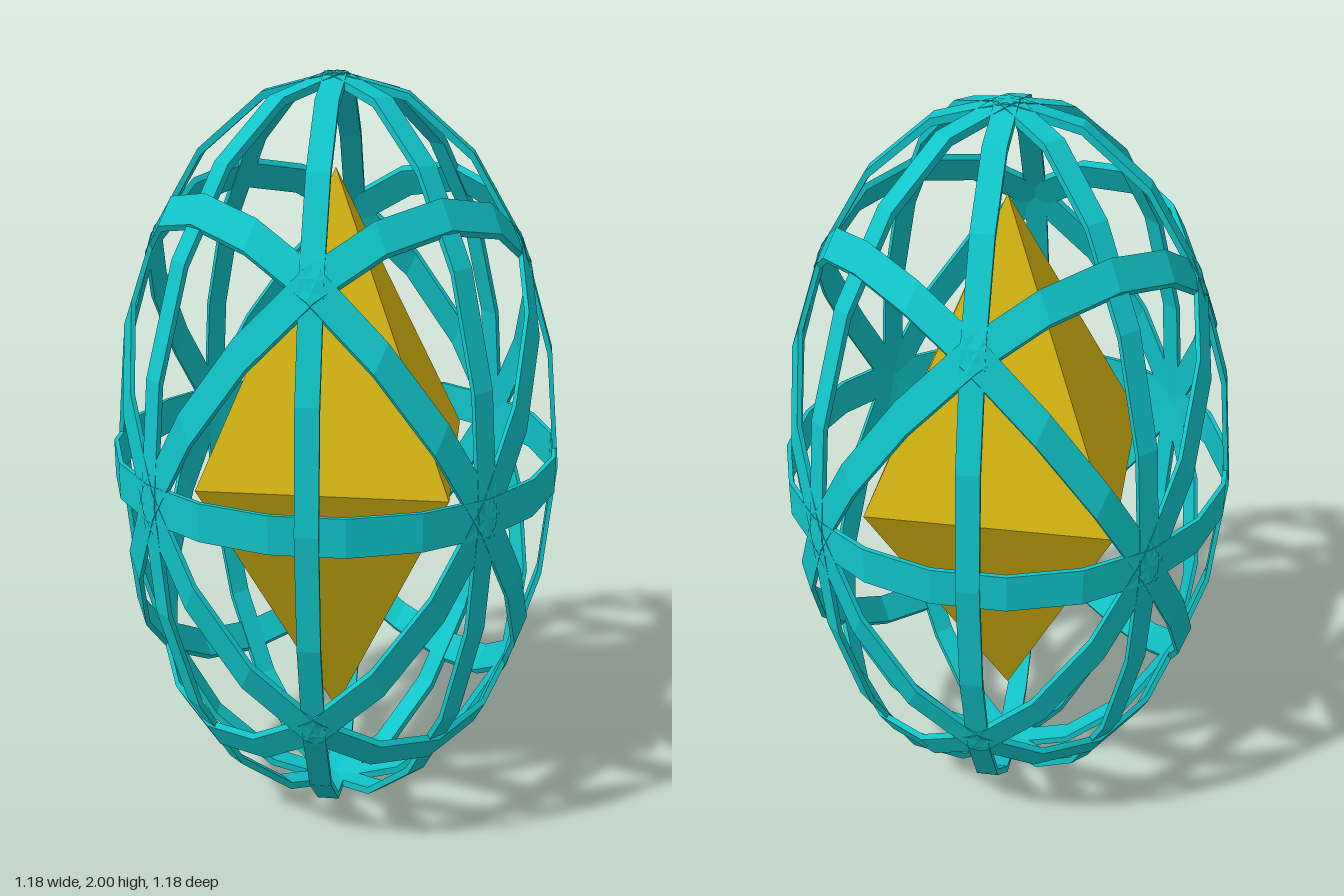
import * as THREE from 'three';

const R = 0.588, WIDTH = 0.058, THICK = 0.012, STRETCH = 1.7;

// Stretch a round geometry into the egg shape and give it flat facets
function eggFacets(geometry) {
  geometry.scale(1, STRETCH, 1);
  const flat = geometry.index ? geometry.toNonIndexed() : geometry;
  flat.computeVertexNormals();
  return flat;
}

// Flat 20-sided hoop around the axis `normal`, with one corner at `start`
function hoopGeometry(normal, start) {
  const h = WIDTH / 2, r = R - THICK;
  const profile = [[R, -h], [R, h], [r, h], [r, -h], [R, -h]]
    .map(([x, y]) => new THREE.Vector2(x, y));
  const g = new THREE.LatheGeometry(profile, 20);
  const n = new THREE.Vector3(...normal).normalize();
  const u = new THREE.Vector3(...start);
  const side = new THREE.Vector3().crossVectors(n, u);
  g.applyMatrix4(new THREE.Matrix4().makeBasis(side, n, u));
  return eggFacets(g);
}

export function createModel() {
  const teal = new THREE.MeshStandardMaterial({ color: 0x10c4c8 });
  teal.name = 'teal';
  const gold = new THREE.MeshStandardMaterial({ color: 0xd4b411 });
  gold.name = 'gold';

  const model = new THREE.Group();
  model.name = 'cagedCrystal';

  // Cage: three hoops on the main planes and six on the diagonal planes
  const cage = new THREE.Group();
  cage.name = 'cage';
  const hoops = [
    ['equatorHoop', [0, 1, 0], [0, 0, 1]],
    ['frontHoop', [0, 0, 1], [0, 1, 0]],
    ['sideHoop', [1, 0, 0], [0, 1, 0]],
  ];
  for (const s of [1, -1]) {
    hoops.push(['diagonalUprightHoop', [1, 0, s], [0, 1, 0]]);
    hoops.push(['sidewaysTiltedHoop', [1, s, 0], [0, 0, 1]]);
    hoops.push(['forwardTiltedHoop', [0, 1, s], [1, 0, 0]]);
  }
  for (const [name, normal, start] of hoops) {
    const hoop = new THREE.Mesh(hoopGeometry(normal, start), teal);
    hoop.name = name;
    cage.add(hoop);
  }
  model.add(cage);

  // Eight-sided crystal floating in the middle
  const crystal = new THREE.Mesh(eggFacets(new THREE.OctahedronGeometry(0.45)), gold);
  crystal.name = 'crystal';
  model.add(crystal);

  for (const part of [cage, crystal]) part.position.y = 1;
  return model;
}
